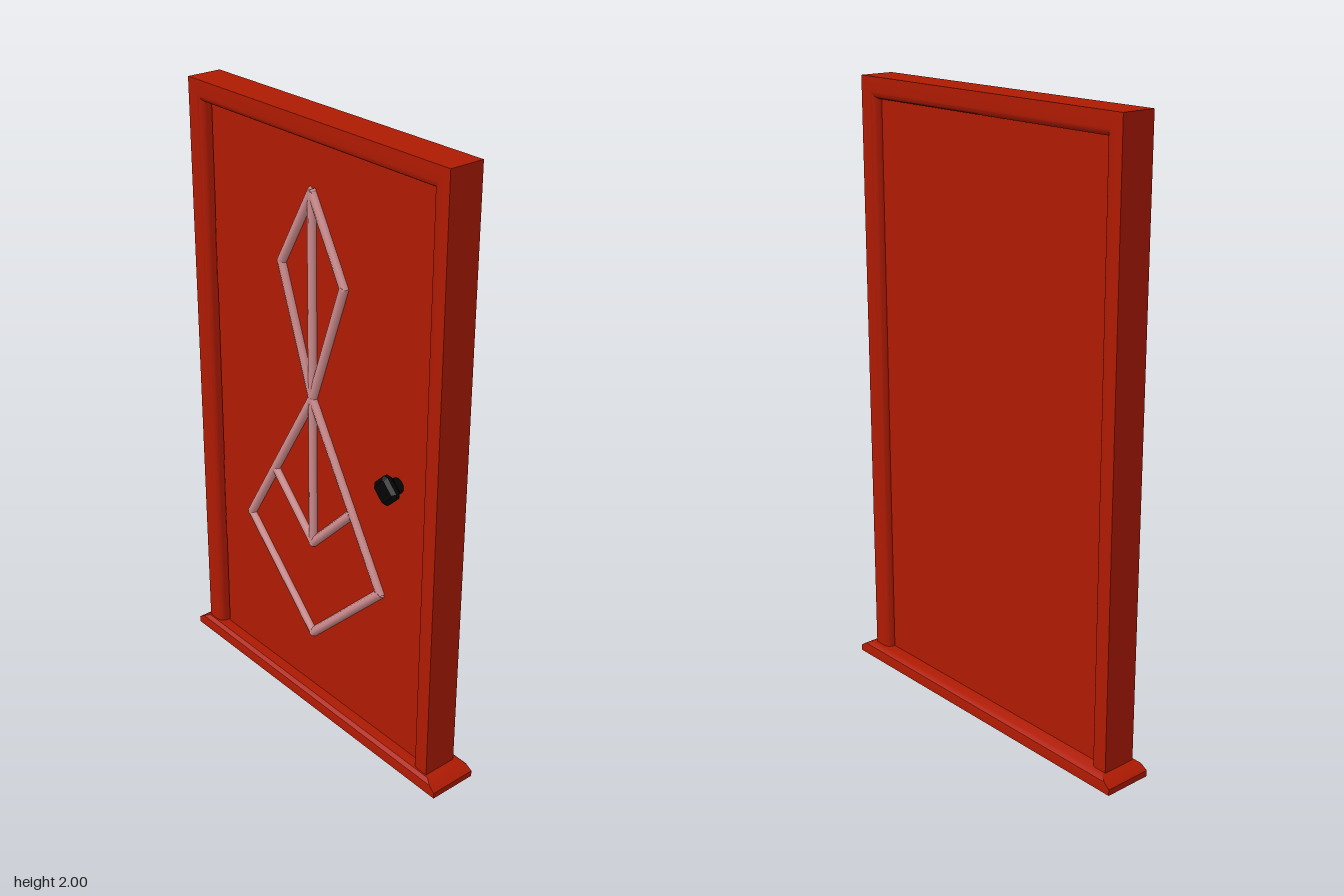
import * as THREE from 'three';
import { toCreasedNormals } from 'three/addons/utils/BufferGeometryUtils.js';

const red = new THREE.MeshStandardMaterial({ color: 0xae1a02 });
red.name = 'red paint';
const rose = new THREE.MeshStandardMaterial({ color: 0xcc8a8c });
rose.name = 'rose metal';
const black = new THREE.MeshStandardMaterial({ color: 0x040404 });
black.name = 'black metal';

// Skins a list of loops (arrays of Vector3) with quads; closed around each loop
function skin(loops, caps = false) {
  const n = loops[0].length, pos = [], idx = [];
  loops.forEach(l => l.forEach(p => pos.push(p.x, p.y, p.z)));
  for (let i = 0; i < loops.length - 1; i++) {
    for (let j = 0; j < n; j++) {
      const k = (j + 1) % n;
      const a = i * n + j, b = i * n + k, c = b + n, d = a + n;
      idx.push(a, b, c, a, c, d);
    }
  }
  if (caps) {
    const t = (loops.length - 1) * n;
    for (let j = 1; j < n - 1; j++) idx.push(0, j + 1, j, t, t + j, t + j + 1);
  }
  const g = new THREE.BufferGeometry();
  g.setAttribute('position', new THREE.Float32BufferAttribute(pos, 3));
  g.setIndex(idx);
  return toCreasedNormals(g, 0.6);
}

export function createModel() {
  const model = new THREE.Group();
  model.name = 'door';
  const add = (name, geometry, material, x = 0, y = 0, z = 0, parent = model) => {
    const m = new THREE.Mesh(geometry, material);
    m.name = name;
    m.position.set(x, y, z);
    parent.add(m);
    return m;
  };

  // Frame: one mitred profile (inset, z) with rounded inner edges
  const profile = [[0, 0.057]];
  for (let i = 0; i <= 5; i++) {
    const a = (i / 5) * Math.PI / 2;
    profile.push([0.04 + 0.026 * Math.sin(a), 0.031 + 0.026 * Math.cos(a)]);
  }
  for (let i = 0; i <= 5; i++) {
    const a = (i / 5) * Math.PI / 2;
    profile.push([0.04 + 0.026 * Math.cos(a), -0.034 - 0.026 * Math.sin(a)]);
  }
  profile.push([0, -0.06]);
  const L = -0.57, R = 0.557;
  const corners = [
    d => [L + d, 0.03], d => [L + d, 2 - d * 1.06],
    d => [R - d, 2 - d * 1.06], d => [R - d, 0.03],
  ];
  const frameLoops = corners.map(f => profile.map(([d, z]) => new THREE.Vector3(...f(d), z)));
  add('frame', skin(frameLoops), red);

  // Sill: stacked rectangles shrinking towards the top
  const sillLoops = [[0, 0.613, 0.076, -0.087], [0.02, 0.613, 0.076, -0.087],
    [0.036, 0.59, 0.074, -0.085], [0.046, 0.568, 0.062, -0.07]]
    .map(([y, x, f, b]) => [[-x, f], [x, f], [x, b], [-x, b]]
      .map(([px, pz]) => new THREE.Vector3(px, y, pz)));
  add('sill', skin(sillLoops, true), red);

  // Door leaf, leaving a slim gap on the hinge side
  add('doorLeaf', new THREE.BoxGeometry(0.988, 1.89, 0.06), red, -0.002, 0.985, -0.003);

  // Hinge knuckles, painted with the door
  for (const [y, h] of [[1.385, 0.08], [1.495, 0.12], [0.44, 0.08], [0.55, 0.12], [0.66, 0.08]]) {
    add('hinge', new THREE.CylinderGeometry(0.007, 0.007, h, 8), red, -0.5, y, 0.018);
  }

  // Ornamental rods on the front of the leaf
  const ornament = new THREE.Group();
  ornament.name = 'ornament';
  model.add(ornament);
  const rod = (x1, y1, x2, y2) => {
    const len = Math.hypot(x2 - x1, y2 - y1);
    const g = new THREE.CylinderGeometry(0.016, 0.016, len + 0.012, 8);
    const m = add('rod', g, rose, -0.02 + (x1 + x2) / 2, (y1 + y2) / 2, 0.029, ornament);
    m.rotation.z = Math.atan2(y2 - y1, x2 - x1) - Math.PI / 2;
  };
  rod(0, 1.78, 0, 0.61);
  for (const s of [-1, 1]) {
    rod(0, 1.78, s * 0.142, 1.528);
    rod(s * 0.142, 1.528, 0, 1.125);
    rod(0, 1.125, s * 0.32, 0.578);
    rod(s * 0.32, 0.578, 0, 0.26);
    rod(s * 0.18, 0.795, 0, 0.61);
  }

  // Knob: diamond with clipped corners, bevelled front and back, on a short stem
  const c = 0.004, r = 0.036;
  const diamond = new THREE.Shape([[r, -c], [r, c], [c, r], [-c, r], [-r, c], [-r, -c], [-c, -r], [c, -r]]
    .map(p => new THREE.Vector2(...p)));
  const knob = new THREE.ExtrudeGeometry(diamond, {
    depth: 0.012, bevelThickness: 0.011, bevelSize: 0.011, bevelSegments: 1,
  });
  add('knob', knob, black, 0.363, 0.988, 0.064);
  const stem = new THREE.CylinderGeometry(0.025, 0.025, 0.034, 16);
  stem.rotateX(Math.PI / 2);
  add('knobStem', stem, black, 0.363, 0.988, 0.041);

  return model;
}
